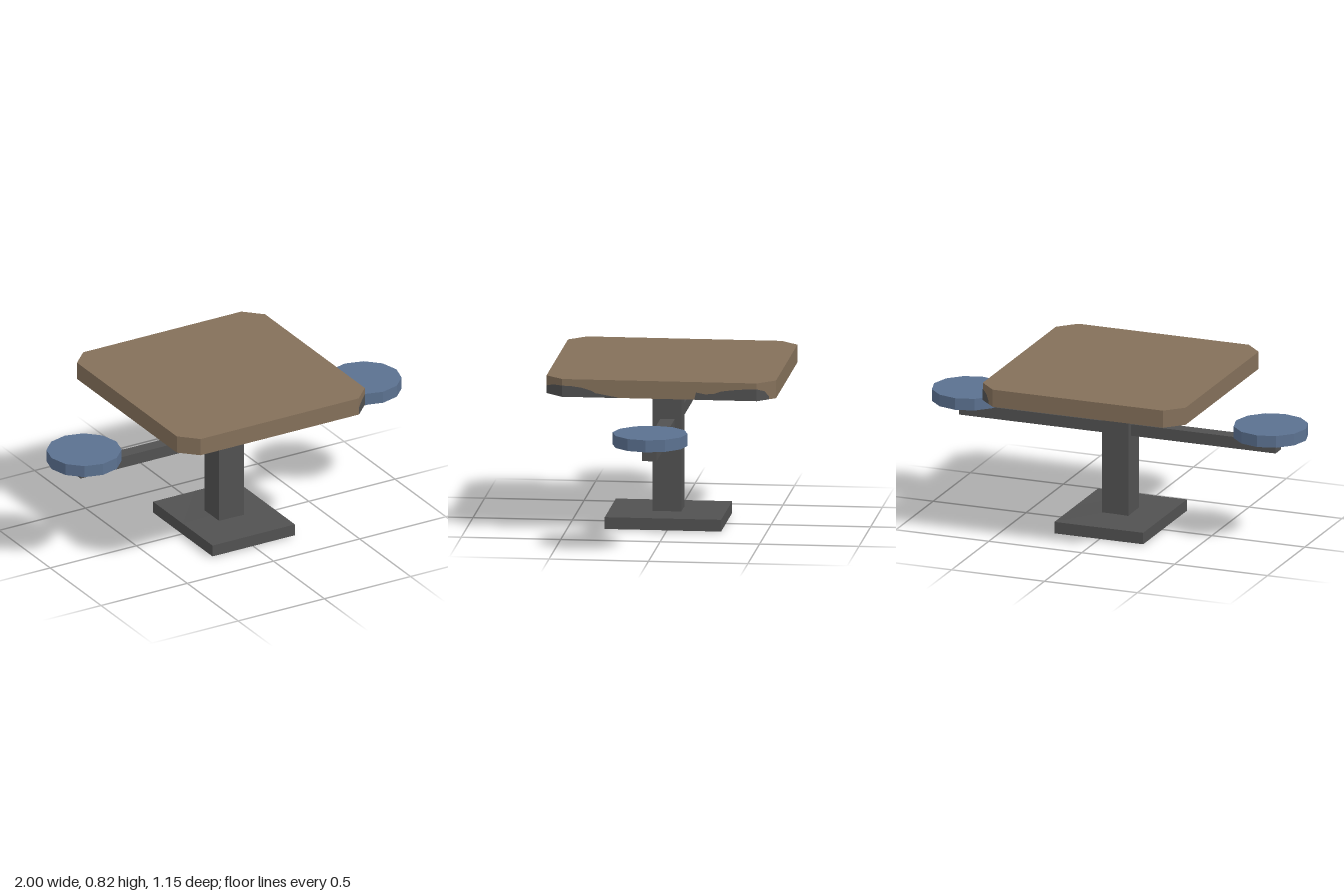
import * as THREE from 'three';

const mat = (name, color, extra = {}) => {
  const m = new THREE.MeshStandardMaterial({ color, ...extra });
  m.name = name;
  return m;
};

export function createModel() {
  const group = new THREE.Group();
  const wood = mat('brown tabletop', 0x84705a);
  const metal = mat('dark grey metal', 0x515151);
  const blue = mat('blue seat', 0x5b7190);
  wood.flatShading = metal.flatShading = blue.flatShading = true;

  const add = (name, geometry, material) => {
    const mesh = new THREE.Mesh(geometry, material);
    mesh.name = name;
    group.add(mesh);
    return mesh;
  };
  // Box given by its lower and upper bounds
  const box = (name, [x0, y0, z0], [x1, y1, z1], material) =>
    add(name, new THREE.BoxGeometry(x1 - x0, y1 - y0, z1 - z0)
      .translate((x0 + x1) / 2, (y0 + y1) / 2, (z0 + z1) / 2), material);

  // Tabletop: square slab with clipped corners
  const L = -0.555, R = 0.536, D = 0.577, c = 0.087, y0 = 0.735, y1 = 0.825;
  const outline = [
    [L + c, -D], [R - c, -D], [R, -D + c], [R, D - c],
    [R - c, D], [L + c, D], [L, D - c], [L, -D + c],
  ].map(([x, z]) => new THREE.Vector2(x, -z));
  const top = new THREE.ExtrudeGeometry(new THREE.Shape(outline), { depth: y1 - y0, bevelEnabled: false });
  top.rotateX(-Math.PI / 2).translate(0, y0, 0);
  add('tabletop', top, wood);

  // Dark worn patches along the left edge, wrapping the clipped corners; points are [z, upper y]
  const edgeX = z => R + 0.002 - Math.max(0, Math.abs(z) - (D - c));
  const patch = (name, points) => {
    const pos = [], index = [];
    points.forEach(([z, y], i) => {
      pos.push(edgeX(z), y0, z, edgeX(z), y, z);
      const a = i * 2;
      if (i) index.push(a - 2, a, a - 1, a, a + 1, a - 1);
    });
    const g = new THREE.BufferGeometry();
    g.setAttribute('position', new THREE.Float32BufferAttribute(pos, 3));
    g.setIndex(index);
    g.computeVertexNormals();
    add(name, g, metal);
  };
  patch('frontEdgePatch', [[0.577, 0.774], [0.54, 0.787], [0.49, 0.792], [0.44, 0.79],
    [0.39, 0.783], [0.345, 0.77], [0.32, 0.757], [0.21, 0.738]]);
  patch('backEdgePatch', [[-0.177, 0.742], [-0.185, 0.772], [-0.23, 0.764], [-0.275, 0.767], [-0.31, 0.78],
    [-0.36, 0.787], [-0.45, 0.795], [-0.49, 0.795], [-0.525, 0.78], [-0.546, 0.75]]);

  // Post
  box('post', [-0.073, 0.06, -0.056], [0.07, 0.74, 0.09], metal);

  // Foot plate, very slightly domed above and below
  const foot = new THREE.BoxGeometry(0.478, 0.06, 0.585, 2, 1, 2);
  const p = foot.attributes.position;
  for (let i = 0; i < p.count; i++) {
    if (Math.abs(p.getX(i)) < 0.01 && Math.abs(p.getZ(i)) < 0.01) p.setY(i, p.getY(i) + Math.sign(p.getY(i)) * 0.006);
  }
  foot.computeVertexNormals();
  add('footPlate', foot.translate(-0.002, 0.036, 0.017), metal);

  // Arms, seat stems and seats on both sides
  for (const [side, s] of [['left', 1], ['right', -1]]) {
    const inner = s * 0.06, outer = s * 0.852;
    box(side + 'Arm', [Math.min(inner, outer), 0.48, -0.023], [Math.max(inner, outer), 0.54, 0.049], metal);
    add(side + 'SeatStem', new THREE.CylinderGeometry(0.035, 0.035, 0.08, 12)
      .translate(s * 0.817, 0.522, 0.013), metal);
    add(side + 'Seat', new THREE.CylinderGeometry(0.188, 0.188, 0.061, 12)
      .translate(s * 0.812, 0.585, 0.014), blue);
  }
  return group;
}
